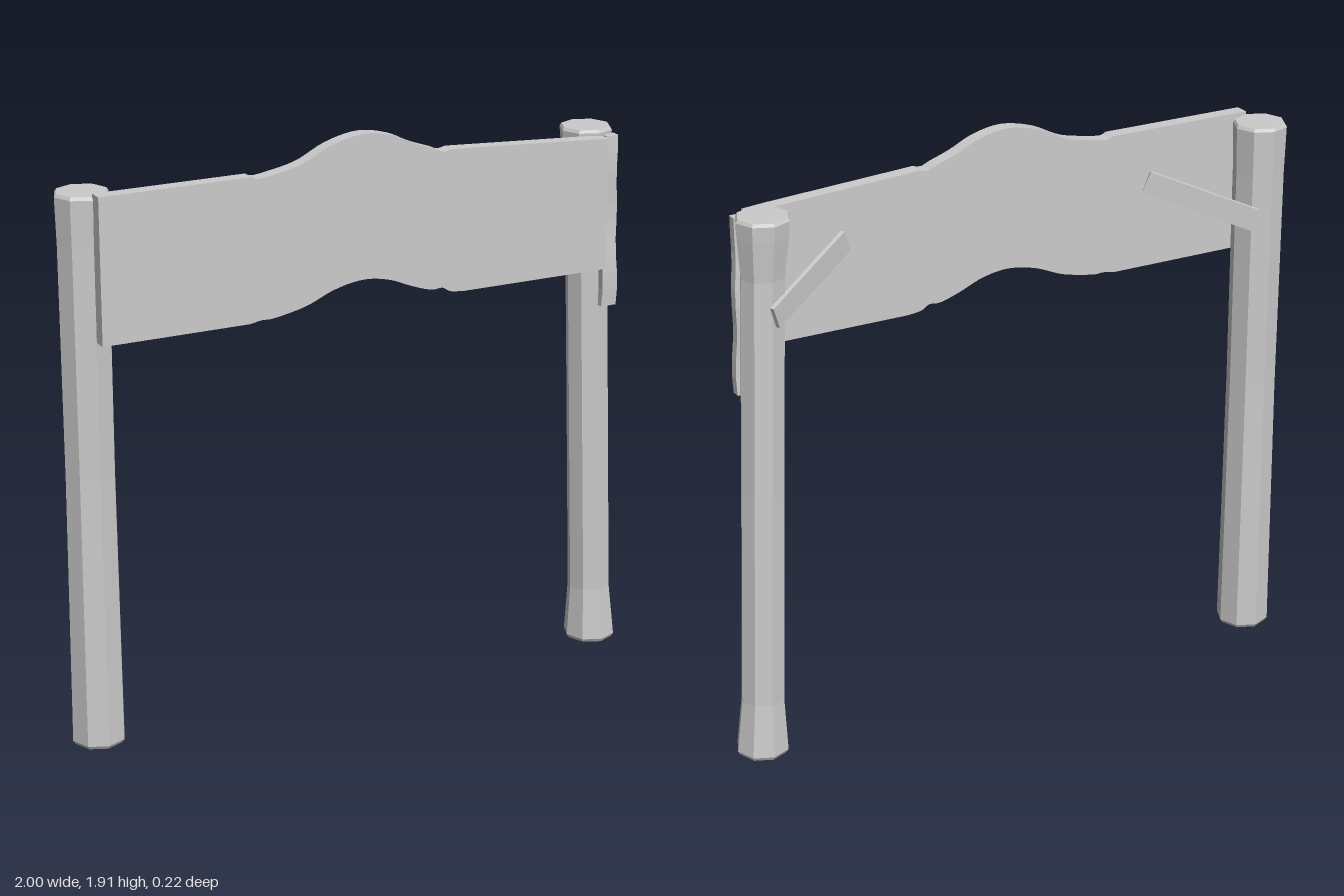
import * as THREE from 'three';

const material = new THREE.MeshStandardMaterial({ color: 0xcccccc, flatShading: true });

function part(name, geometry) {
  const mesh = new THREE.Mesh(geometry, material);
  mesh.name = name;
  return mesh;
}

// Eight-sided post: rings of [height, radius], sheared so it can lean along x
function post(name, rings, xBottom, xTop) {
  const top = 1.81;
  const profile = [[0, 0], ...rings.map(([y, r]) => [r, y]), [0, top]].map(([r, y]) => new THREE.Vector2(r, y));
  const geometry = new THREE.LatheGeometry(profile, 8);
  const p = geometry.attributes.position;
  for (let i = 0; i < p.count; i++) {
    p.setX(i, p.getX(i) + THREE.MathUtils.lerp(xBottom, xTop, p.getY(i) / top));
    p.setZ(i, p.getZ(i) - 0.02);
  }
  geometry.computeVertexNormals();
  return part(name, geometry);
}

// Banner board: straight ends and a bell-shaped arch in the middle
function board() {
  const curve = (points) => new THREE.SplineCurve(points.map(([x, y]) => new THREE.Vector2(x, y))).getPoints(48);
  const topArch = curve([[-0.41, 1.82], [-0.39, 1.812], [-0.34, 1.818], [-0.24, 1.84], [-0.14, 1.887], [-0.03, 1.91],
    [0.07, 1.893], [0.15, 1.857], [0.22, 1.832], [0.25, 1.82], [0.28, 1.825]]);
  const bottomArch = curve([[-0.42, 1.355], [-0.38, 1.362], [-0.34, 1.362], [-0.23, 1.385], [-0.13, 1.425], [-0.03, 1.443],
    [0.06, 1.43], [0.14, 1.398], [0.21, 1.376], [0.25, 1.377], [0.28, 1.361], [0.33, 1.355]]);
  const v = (x, y) => new THREE.Vector2(x, y);
  const outline = [v(-0.91, 1.355), ...bottomArch, v(0.855, 1.355), v(0.855, 1.79), v(0.78, 1.796),
    ...topArch.reverse(), v(-0.91, 1.82)];
  const geometry = new THREE.ExtrudeGeometry(new THREE.Shape(outline), { depth: 0.048, bevelEnabled: false });
  geometry.translate(0, 0, 0.06);
  return part('board', geometry);
}

// Thin slat rising from the back of a post to the back of the board
function brace(name, side) {
  const from = new THREE.Vector3(side * 0.85, 1.51, -0.1);
  const to = new THREE.Vector3(side * 0.535, 1.645, 0.058);
  const mesh = part(name, new THREE.BoxGeometry(0.014, 0.075, from.distanceTo(to)));
  mesh.position.copy(from).add(to).multiplyScalar(0.5);
  mesh.lookAt(to);
  return mesh;
}

// Uneven strip hanging down the front of the leaning post
function strip() {
  const length = 0.575;
  const geometry = new THREE.BoxGeometry(0.055, length, 0.03, 1, 10, 1);
  const p = geometry.attributes.position;
  for (let i = 0; i < p.count; i++) {
    const t = p.getY(i) / length + 0.5;
    p.setX(i, p.getX(i) * (1 - 0.2 * t * t) + 0.892 - 0.008 * t + 0.003 * Math.sin(t * 14));
    p.setY(i, 1.215 + t * length);
    p.setZ(i, p.getZ(i) + 0.058 + 0.004 * Math.sin(t * 9));
  }
  geometry.computeVertexNormals();
  return part('hangingStrip', geometry);
}

export function createModel() {
  const group = new THREE.Group();
  group.name = 'bannerGate';
  group.add(
    post('rightPost', [[0, 0.08], [0.012, 0.088], [0.15, 0.087], [0.9, 0.082], [1.65, 0.084], [1.8, 0.088], [1.81, 0.082]], -0.912, -0.912),
    post('leftPost', [[0, 0.08], [0.012, 0.087], [0.19, 0.072], [0.9, 0.071], [1.62, 0.071], [1.75, 0.084], [1.8, 0.087], [1.81, 0.081]], 0.91, 0.843),
    board(),
    brace('rightBrace', -1),
    brace('leftBrace', 1),
    strip(),
  );
  return group;
}
